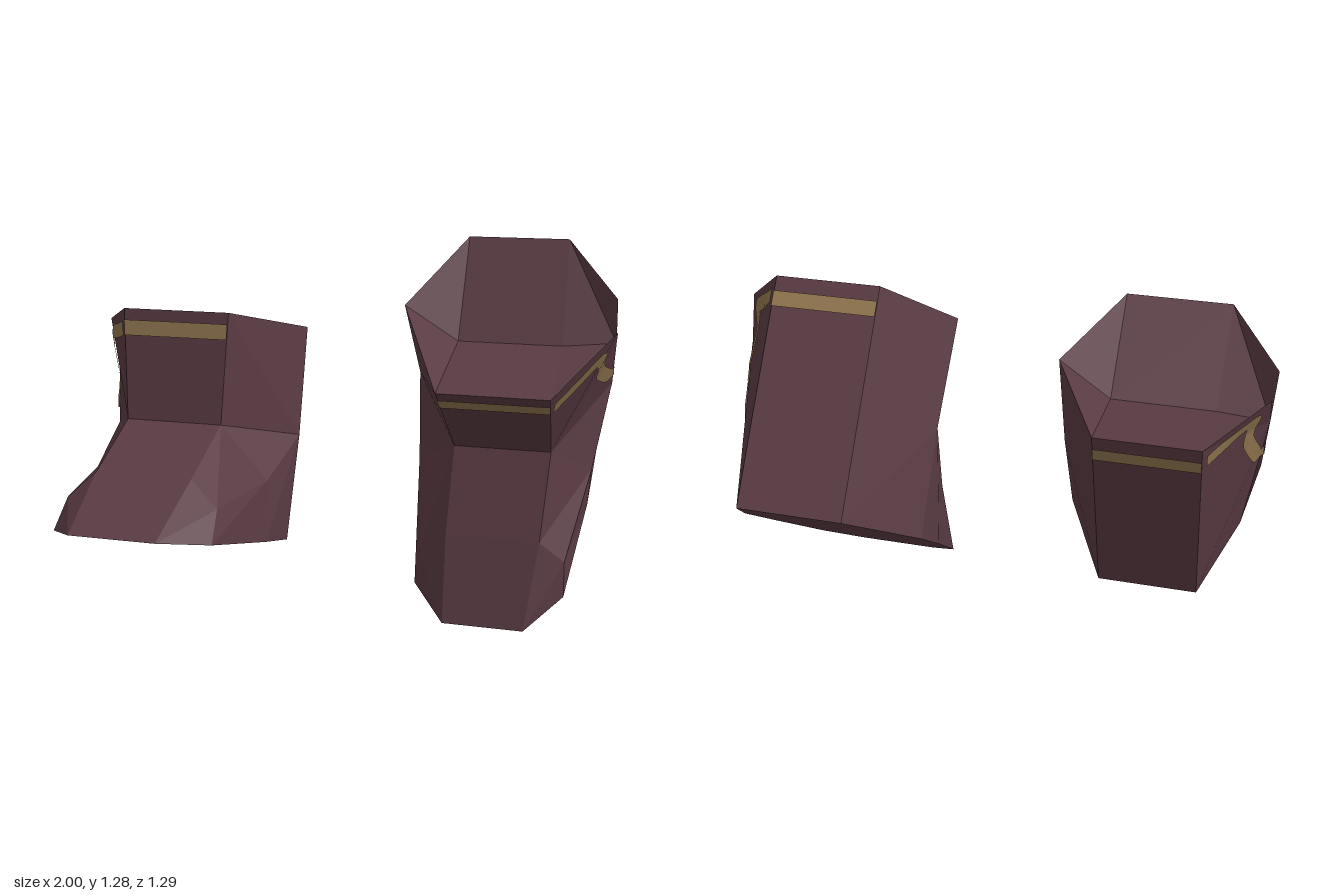
import * as THREE from 'three';

const leather = new THREE.MeshStandardMaterial({ color: 0x5a3b43 });
leather.name = 'dark leather';
const gold = new THREE.MeshStandardMaterial({ color: 0x927750, side: THREE.DoubleSide });
gold.name = 'dull gold trim';

// Corner points of one half boot: x outwards, y up, z to the toe
const P = {
  heel: [0.172, 0, 0], waist: [0.31, 0, 0.335], ball: [0.305, 0, 0.57], toeSide: [0.26, 0, 0.96], toe: [0.139, 0, 1.108],
  instep: [0.305, 0.2, 0.555], toeRim: [0.25, 0.105, 0.885], toeTop: [0.16, 0.19, 0.87],
  ankle: [0.34, 0.365, 0.3], ankleFront: [0.165, 0.37, 0.62],
  front: [0.183, 0.733, 0.682], back: [0.172, 0.744, -0.01], side: [0.345, 0.74, 0.318],
  flapFront: [0.366, 0.73, 0.386], notch: [0.355, 0.58, 0.305], flapBack: [0.355, 0.734, 0.248],
  valley: [0.178, 0.575, 0.325],
};

// Side faces shared by both halves, then the tops of the plain and the notched half
const LOWER = ['ball waist ankle instep', 'instep ankle ankleFront', 'toeRim instep ankleFront toeTop',
  'toeSide ball instep toeRim', 'toe toeSide toeRim', 'toe toeRim toeTop'];
const PLAIN = ['ankle waist heel back side', 'ankle side front ankleFront', 'front side valley', 'side back valley'];
const NOTCHED = ['ankle waist heel back flapBack notch', 'ankle notch flapFront front ankleFront',
  'valley front flapFront notch', 'valley notch flapBack back'];
// Faces spanning the middle, as lower and upper edge
const MIDDLE = [['ankleFront', 'front'], ['toeTop', 'ankleFront'], ['toe', 'toeTop'], ['front', 'valley'], ['valley', 'back'], ['back', 'heel']];

// Corner on one half; the forefoot bends slightly inwards
function corner(name, half) {
  const [x, y, z] = P[name];
  const bend = 0.03 * Math.min(Math.max(z, 0) / 0.4, 1) * Math.max(0, 1 - y / 0.35);
  return [x * half + bend, y, z];
}

// Flat-shaded geometry from polygons, mirrored in x when m is -1
function polygons(list, m) {
  const pos = [];
  for (const poly of list) {
    for (let i = 1; i < poly.length - 1; i++) {
      const tri = [poly[0], poly[i], poly[i + 1]];
      if (m < 0) tri.reverse();
      for (const [x, y, z] of tri) pos.push(x * m, y, z);
    }
  }
  const g = new THREE.BufferGeometry();
  g.setAttribute('position', new THREE.Float32BufferAttribute(pos, 3));
  g.computeVertexNormals();
  return g;
}

function part(name, geometry, material) {
  const mesh = new THREE.Mesh(geometry, material);
  mesh.name = name;
  return mesh;
}

function bootBody(m) {
  const faces = [];
  for (const half of [1, -1]) {
    for (const face of [...LOWER, ...(half > 0 ? PLAIN : NOTCHED)]) {
      const poly = face.split(' ').map((n) => corner(n, half));
      faces.push(half > 0 ? poly : poly.reverse());
    }
  }
  for (const [a, b] of MIDDLE) faces.push([corner(a, -1), corner(a, 1), corner(b, 1), corner(b, -1)]);
  // sole outline
  const rim = ['heel', 'waist', 'ball', 'toeSide', 'toe'];
  faces.push([...rim.map((n) => corner(n, 1)), ...rim.reverse().map((n) => corner(n, -1))]);
  return part('bootBody', polygons(faces, m), leather);
}

// Trim on the outer wall: a ribbon laid onto the body along the notched edge
function sideTrim(body, m) {
  const curve = new THREE.CatmullRomCurve3([[0.664, 0.668], [0.55, 0.67], [0.455, 0.672], [0.42, 0.575], [0.335, 0.445],
    [0.255, 0.46], [0.195, 0.59], [0.2, 0.682], [0.1, 0.685], [0.004, 0.685]]
    .map(([z, y]) => new THREE.Vector3(0, y, z)), false, 'catmullrom', 0.25);
  const ray = new THREE.Raycaster();
  const lay = (y, z) => {
    ray.set(new THREE.Vector3(-2 * m, y, z), new THREE.Vector3(m, 0, 0));
    const hit = ray.intersectObject(body)[0];
    return hit ? [hit.point.x * m - 0.006, y, z] : null;
  };
  const rows = [];
  const steps = 60;
  for (let i = 0; i <= steps; i++) {
    const p = curve.getPoint(i / steps);
    const t = curve.getTangent(i / steps);
    const a = lay(p.y - t.z * 0.024, p.z + t.y * 0.024);
    const b = lay(p.y + t.z * 0.024, p.z - t.y * 0.024);
    if (a && b) rows.push([a, b]);
  }
  const quads = rows.slice(1).map(([a, b], i) => [rows[i][0], a, b, rows[i][1]]);
  return part('sideTrim', polygons(quads, m), gold);
}

// Straight trim across the front or back of the shaft
function crossTrim(name, m, top, bottom, out) {
  const at = (y, s) => {
    const k = (y - P[bottom][1]) / (P[top][1] - P[bottom][1]);
    const mix = (i) => P[bottom][i] + (P[top][i] - P[bottom][i]) * k;
    return [s * mix(0), y, mix(2) + out];
  };
  return part(name, polygons([[at(0.645, -1), at(0.645, 1), at(0.695, 1), at(0.695, -1)]], m), gold);
}

function boot(name, m, pitch, position) {
  const g = new THREE.Group();
  g.name = name;
  const body = bootBody(m);
  const trim = sideTrim(body, m);
  g.add(body, trim, crossTrim('frontTrim', m, 'front', 'ankleFront', 0.005), crossTrim('backTrim', m, 'back', 'heel', -0.005));
  g.rotation.set(pitch, -0.515, 0, 'YXZ');
  g.position.set(...position);
  return g;
}

export function createModel() {
  const model = new THREE.Group();
  model.name = 'pairOfBoots';
  model.add(boot('rightBoot', 1, -0.296, [-0.35, 0.18, -0.365]));
  model.add(boot('leftBoot', -1, 0.678, [0.85, 0.7, -0.371]));
  return model;
}
